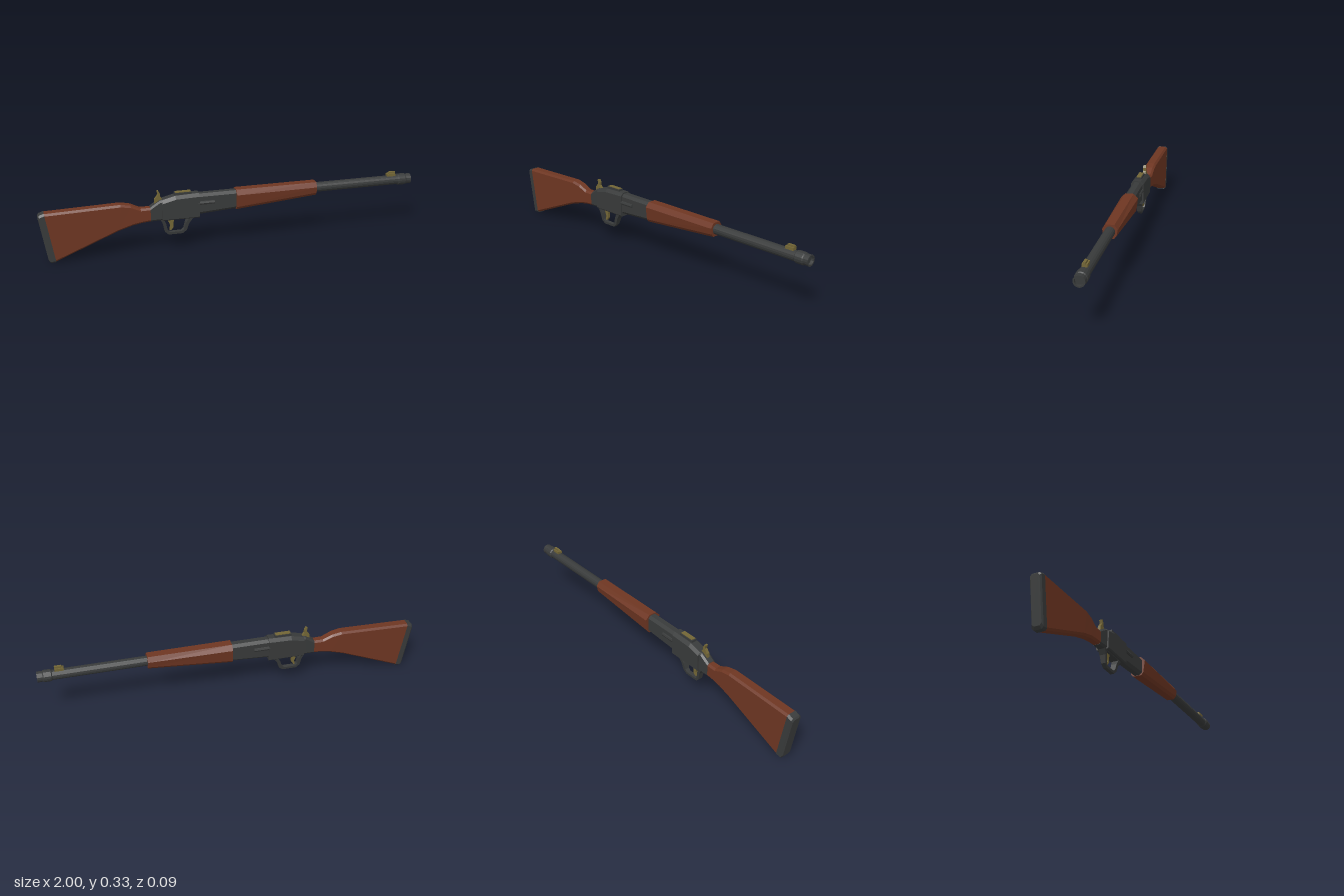
import * as THREE from 'three';

const mat = (name, color) => Object.assign(new THREE.MeshStandardMaterial({ color, flatShading: true }), { name });

// Half cross-section: slanted rectangle with chamfers at top (ct) and bottom (cb)
const sec = (xt, yt, xb, yb, w, ct = 0.01, cb = ct) => {
  const k = (xb - xt) / (yb - yt);
  return [
    [xt, yt, w - ct], [xt - k * ct, yt - ct, w],
    [xb + k * cb, yb + cb, w], [xb, yb, w - cb],
  ];
};

// Joins mirrored half cross-sections along x into a closed, faceted solid
function loft(sections) {
  const rings = sections.map(h => [...h, ...h.slice().reverse().map(([x, y, z]) => [x, y, -z])]);
  const n = rings[0].length, pos = [];
  const tri = (...pts) => pts.forEach(p => pos.push(...p));
  for (let i = 0; i < rings.length - 1; i++) {
    const a = rings[i], b = rings[i + 1];
    for (let j = 0; j < n; j++) {
      const k = (j + 1) % n;
      tri(a[j], a[k], b[j]);
      tri(a[k], b[k], b[j]);
    }
  }
  const first = rings[0], last = rings[rings.length - 1];
  for (let j = 1; j < n - 1; j++) {
    tri(first[0], first[j + 1], first[j]);
    tri(last[0], last[j], last[j + 1]);
  }
  const g = new THREE.BufferGeometry();
  g.setAttribute('position', new THREE.Float32BufferAttribute(pos, 3));
  g.computeVertexNormals();
  return g;
}

const outline = pts => pts.map(([x, y]) => new THREE.Vector2(x, y));

// Side outline given thickness, centred on z = 0
function plate(pts, depth, hole) {
  const shape = new THREE.Shape(outline(pts));
  if (hole) shape.holes.push(new THREE.Path(outline(hole)));
  return new THREE.ExtrudeGeometry(shape, { depth, bevelEnabled: false }).translate(0, 0, -depth / 2);
}

export function createModel() {
  const group = new THREE.Group();
  const wood = mat('wood', 0x6e3622);
  const metal = mat('dark metal', 0x383a3a);
  const brass = mat('aged brass', 0x736636);
  const add = (name, geo, material, x = 0, y = 0, z = 0) => {
    const m = new THREE.Mesh(geo, material);
    m.name = name;
    m.position.set(x, y, z);
    group.add(m);
    return m;
  };

  // Shoulder stock and butt pad
  add('stock', loft([
    sec(-0.97, 0.273, -0.928, 0.012, 0.03),
    sec(-0.59, 0.283, -0.607, 0.143, 0.029),
    sec(-0.54, 0.273, -0.53, 0.165, 0.027),
    sec(-0.49, 0.25, -0.485, 0.172, 0.025),
    sec(-0.438, 0.25, -0.438, 0.176, 0.024),
  ]), wood);
  add('buttPad', loft([
    sec(-1.0, 0.258, -0.963, 0.02, 0.024),
    sec(-0.994, 0.266, -0.953, 0.006, 0.03),
    sec(-0.968, 0.275, -0.926, 0.009, 0.0305),
  ]), metal);

  // Receiver: narrow tang, main block, front neck
  add('receiverTang', loft([
    sec(-0.44, 0.252, -0.44, 0.175, 0.025),
    sec(-0.39, 0.285, -0.39, 0.177, 0.027),
    sec(-0.37, 0.288, -0.37, 0.177, 0.027),
  ]), metal);
  add('receiver', loft([
    sec(-0.38, 0.286, -0.38, 0.177, 0.035, 0.016, 0.006),
    sec(-0.31, 0.304, -0.31, 0.177, 0.035, 0.016, 0.006),
    sec(-0.187, 0.308, -0.187, 0.177, 0.035, 0.016, 0.006),
  ]), metal);
  add('receiverNeck', loft([
    sec(-0.19, 0.302, -0.19, 0.19, 0.028, 0.014),
    sec(0.02, 0.302, 0.02, 0.203, 0.028, 0.014),
  ]), metal);
  for (const s of [1, -1]) {
    const bar = new THREE.CylinderGeometry(0.012, 0.012, 0.085, 8).rotateZ(Math.PI / 2);
    add('sideBar', bar, metal, -0.15, 0.255, s * 0.024);
  }
  add('topPlate', new THREE.BoxGeometry(0.09, 0.016, 0.032), metal, -0.268, 0.308, 0);
  add('topInlay', new THREE.BoxGeometry(0.08, 0.004, 0.024), brass, -0.268, 0.317, 0);

  // Wooden handguard, wide near the top and tapering forward
  const guard = (x, yb, w, wb) => [
    [x, 0.307, 0.022], [x, 0.283, w], [x, yb + 0.015, wb], [x, yb, wb - 0.012],
  ];
  add('handguard', loft([guard(0.01, 0.2, 0.045, 0.036), guard(0.45, 0.236, 0.038, 0.032)]), wood);

  // Barrel with muzzle collar and recessed bore
  const profile = outline([
    [0, 0], [0.026, 0], [0.026, 0.925], [0.031, 0.93], [0.031, 0.967],
    [0.027, 0.972], [0.028, 1.0], [0.021, 1.0], [0.021, 0.985], [0, 0.985],
  ]);
  add('barrel', new THREE.LatheGeometry(profile, 16).rotateZ(-Math.PI / 2), metal, 0, 0.272, 0);

  // Front sight
  add('frontSightBase', new THREE.BoxGeometry(0.046, 0.014, 0.026), brass, 0.888, 0.303, 0);
  add('frontSightBlade', plate([[0.865, 0.305], [0.911, 0.305], [0.911, 0.32], [0.875, 0.32]], 0.012), brass);

  // Hammer
  add('hammer', plate([
    [-0.418, 0.26], [-0.375, 0.26], [-0.375, 0.286], [-0.387, 0.302],
    [-0.387, 0.318], [-0.395, 0.334], [-0.403, 0.332], [-0.398, 0.312], [-0.415, 0.29],
  ], 0.016), brass);

  // Trigger guard narrows towards its lowest edge
  const guardLoop = plate([
    [-0.39, 0.18], [-0.375, 0.15], [-0.367, 0.108], [-0.348, 0.09],
    [-0.272, 0.09], [-0.252, 0.108], [-0.24, 0.145], [-0.215, 0.18],
  ], 0.04, [
    [-0.37, 0.174], [-0.36, 0.15], [-0.353, 0.114], [-0.342, 0.103],
    [-0.279, 0.103], [-0.267, 0.114], [-0.256, 0.15], [-0.242, 0.174],
  ]);
  const p = guardLoop.attributes.position;
  for (let i = 0; i < p.count; i++) {
    const t = THREE.MathUtils.clamp((p.getY(i) - 0.09) / 0.09, 0, 1);
    p.setZ(i, p.getZ(i) * (0.5 + 0.5 * t));
  }
  guardLoop.computeVertexNormals();
  add('triggerGuard', guardLoop, metal);

  // Trigger
  add('trigger', plate([
    [-0.36, 0.18], [-0.315, 0.18], [-0.322, 0.15], [-0.322, 0.128],
    [-0.334, 0.112], [-0.342, 0.114], [-0.337, 0.135], [-0.345, 0.158],
  ], 0.014), brass);

  return group;
}
